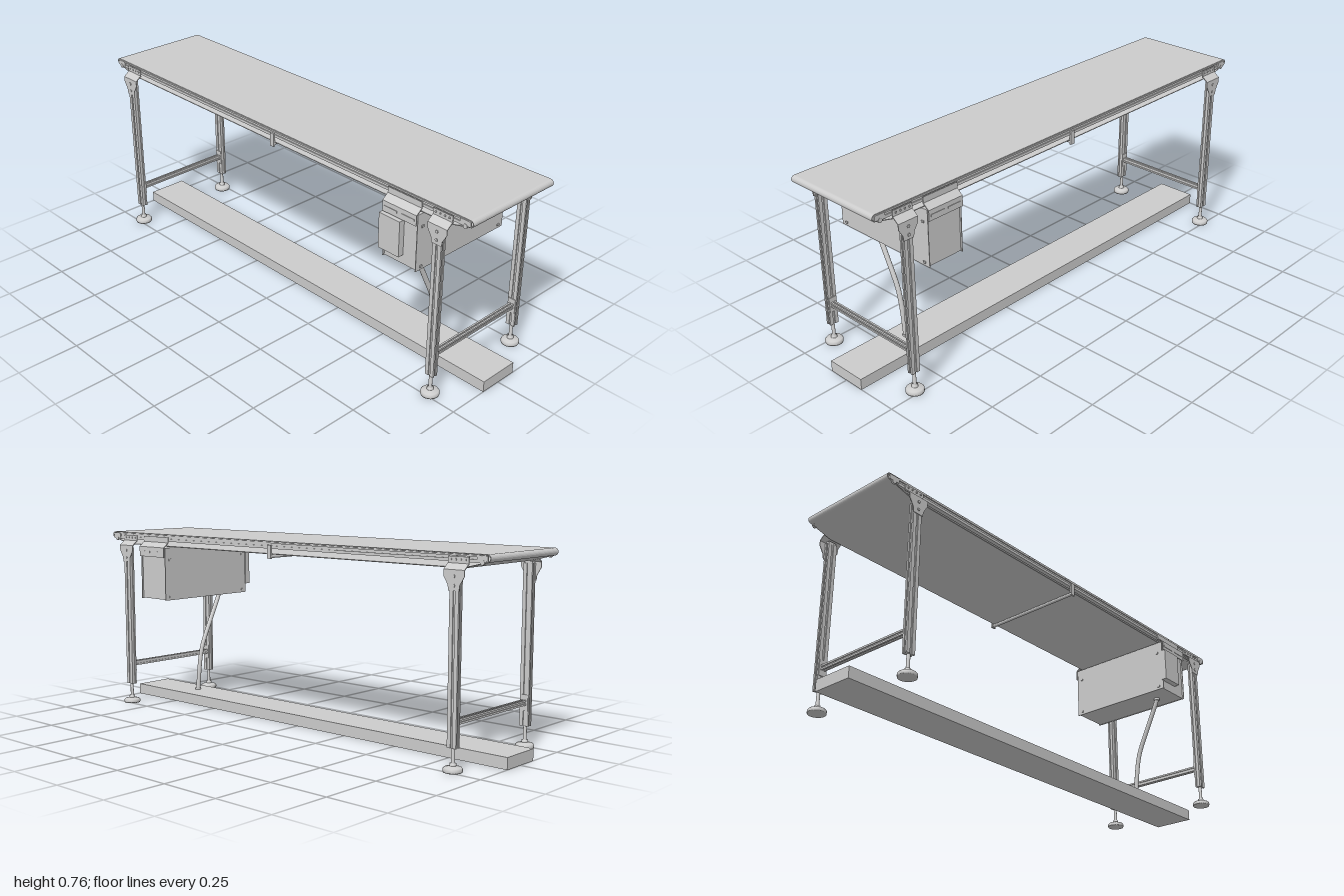
import * as THREE from 'three';

const mat = new THREE.MeshStandardMaterial({ color: 0xcccccc, side: THREE.DoubleSide });

function add(parent, name, geo, x = 0, y = 0, z = 0) {
  const m = new THREE.Mesh(geo, mat);
  m.name = name;
  m.position.set(x, y, z);
  parent.add(m);
  return m;
}
const box = (w, h, d) => new THREE.BoxGeometry(w, h, d);
const rod = (r, len, seg = 16) => new THREE.CylinderGeometry(r, r, len, seg);
const toShape = (pts) => new THREE.Shape(pts.map((p) => new THREE.Vector2(p[0], p[1])));

// Extrudes an outline, centred on its depth
function prism(shape, depth) {
  const g = new THREE.ExtrudeGeometry(shape, { depth, bevelEnabled: false });
  return g.translate(0, 0, -depth / 2);
}
// Outline given as (z, y), extruded along x
const prismX = (shape, depth) => prism(shape, depth).rotateY(-Math.PI / 2);

// Slotted profile with a groove in each of the four sides
function slotted(w, h, groove, depth) {
  const pts = [];
  const a = w / 2, b = h / 2, g = groove / 2;
  const quarter = [[a, -b], [a, -g], [a - depth, -g], [a - depth, g], [a, g], [a, b],
    [g, b], [g, b - depth], [-g, b - depth], [-g, b]];
  for (const s of [1, -1]) for (const [x, y] of quarter) pts.push([s * x, s * y]);
  return toShape(pts);
}

// Belt loop seen from the side: tight noses, sloping returns, flat underside
function beltLoop(t) {
  const half = [];
  for (let i = 0; i <= 10; i++) {
    const a = Math.PI / 2 - (i / 10) * (165 * Math.PI) / 180;
    half.push([0.986 + (0.014 - t) * Math.cos(a), 0.743 + (0.014 - t) * Math.sin(a)]);
  }
  half.push([0.89, 0.705 + t]);
  return [...half, ...half.map(([z, y]) => [-z, y]).reverse()];
}

// Bent bracket top that runs from the rail out over the leg
function bentPlate(bottom, depth) {
  return prism(toShape([[0.217, 0.745], [0.221, 0.745], [0.221, 0.722], [0.246, 0.702],
    [0.246, bottom], [0.243, bottom], [0.243, 0.7], [0.217, 0.72]]), depth);
}

// Leg on the +x side with foot and top bracket
function makeLeg() {
  const leg = new THREE.Group();
  leg.name = 'leg';
  add(leg, 'legPost', prism(slotted(0.023, 0.038, 0.008, 0.004), 0.61).rotateX(-Math.PI / 2), 0.2315, 0.39);
  add(leg, 'legCap', box(0.016, 0.008, 0.034), 0.2315, 0.699);
  const foot = [[0, 0], [0.034, 0], [0.035, 0.004], [0.035, 0.012], [0.031, 0.017],
    [0.013, 0.021], [0.012, 0.023], [0.012, 0.031], [0.007, 0.032], [0.0065, 0.09], [0, 0.09]];
  add(leg, 'foot', new THREE.LatheGeometry(foot.map((p) => new THREE.Vector2(...p)), 24), 0.2315);
  add(leg, 'legBracketTop', bentPlate(0.69, 0.086));
  const plate = toShape([[-0.043, 0.7], [-0.043, 0.68], [-0.025, 0.65], [-0.022, 0.63],
    [0.022, 0.63], [0.025, 0.65], [0.043, 0.68], [0.043, 0.7]]);
  add(leg, 'legBracketPlate', prismX(plate, 0.003), 0.2445);
  for (const y of [0.648, 0.68]) {
    add(leg, 'bracketBolt', rod(0.006, 0.004, 6).rotateZ(Math.PI / 2), 0.247, y);
  }
  for (const z of [-0.03, -0.01, 0.01, 0.03]) {
    add(leg, 'railBolt', rod(0.004, 0.004, 6).rotateZ(Math.PI / 2), 0.222, 0.735, z);
  }
  add(leg, 'crossbarPlate', box(0.003, 0.062, 0.034), 0.2185, 0.174);
  return leg;
}

export function createModel() {
  const model = new THREE.Group();
  model.name = 'conveyor';

  // Belt as a thin closed loop
  const belt = toShape(beltLoop(0));
  belt.holes.push(new THREE.Path(beltLoop(0.003).map((p) => new THREE.Vector2(...p))));
  add(model, 'belt', prismX(belt, 0.432));

  // Side rails with grooves, and nose end blocks
  for (const s of [1, -1]) {
    const rail = [[0.2, 0.727], [0.2, 0.753], [0.217, 0.753], [0.217, 0.747], [0.213, 0.747],
      [0.213, 0.738], [0.217, 0.738], [0.217, 0.727]];
    add(model, 'sideRail', prism(toShape(rail.map(([x, y]) => [s * x, y])), 1.96));
    for (const e of [1, -1]) {
      add(model, 'noseBlock', box(0.006, 0.02, 0.045), s * 0.216, 0.742, e * 0.968);
      add(model, 'noseBolt', rod(0.009, 0.008).rotateZ(Math.PI / 2), s * 0.216, 0.729, e * 0.968);
    }
  }

  // Legs and crossbars
  for (const z of [0.873, -0.873]) {
    for (const turn of [0, Math.PI]) {
      const leg = makeLeg();
      leg.rotation.y = turn;
      leg.position.z = z;
      model.add(leg);
    }
    add(model, 'crossbar', prism(slotted(0.02, 0.02, 0.006, 0.004), 0.438).rotateY(Math.PI / 2), 0, 0.175, z);
  }

  // Return rod under the belt with its hangers
  add(model, 'returnRod', rod(0.007, 0.436).rotateZ(Math.PI / 2), 0, 0.697, 0.02);
  for (const s of [1, -1]) add(model, 'rodHanger', box(0.007, 0.054, 0.02), s * 0.2195, 0.715, 0.02);

  // Control box with covers, corner screws and hanging brackets
  const control = new THREE.Group();
  control.name = 'controlBox';
  control.position.z = 0.702;
  model.add(control);
  add(control, 'boxBody', box(0.462, 0.222, 0.152), 0, 0.589);
  for (const e of [1, -1]) {
    add(control, 'boxCover', box(0.476, 0.225, 0.003), 0, 0.5885, e * 0.0775);
    for (const x of [0.213, -0.213]) for (const y of [0.49, 0.65]) {
      add(control, 'coverScrew', box(0.011, 0.008, 0.005), x, y, e * 0.0805);
    }
  }
  for (const s of [1, -1]) {
    const hanger = new THREE.Group();
    hanger.name = 'boxHanger';
    hanger.rotation.y = s > 0 ? 0 : Math.PI;
    control.add(hanger);
    add(hanger, 'hangerPlate', bentPlate(0.66, 0.158));
    for (const z of [-0.04, 0.04]) add(hanger, 'hangerRib', box(0.004, 0.008, 0.06), 0.246, 0.68, z);
  }
  add(control, 'sidePanel', box(0.024, 0.14, 0.098), -0.245, 0.585, -0.035);

  // Cable from the box down to the floor duct
  const path = new THREE.CatmullRomCurve3([[-0.145, 0.475], [-0.138, 0.455], [-0.095, 0.365], [-0.045, 0.258],
    [-0.033, 0.22], [-0.022, 0.16], [-0.01, 0.045]].map(([x, y]) => new THREE.Vector3(x, y, 0.702)));
  add(model, 'cable', new THREE.TubeGeometry(path, 48, 0.0095, 12));
  add(model, 'cableCollarTop', rod(0.012, 0.01), -0.145, 0.473, 0.702);
  add(model, 'cableCollarBottom', rod(0.012, 0.01), -0.01, 0.049, 0.702);

  // Floor duct
  add(model, 'floorDuct', box(0.17, 0.045, 2), 0, 0.0225, 0);

  return model;
}
